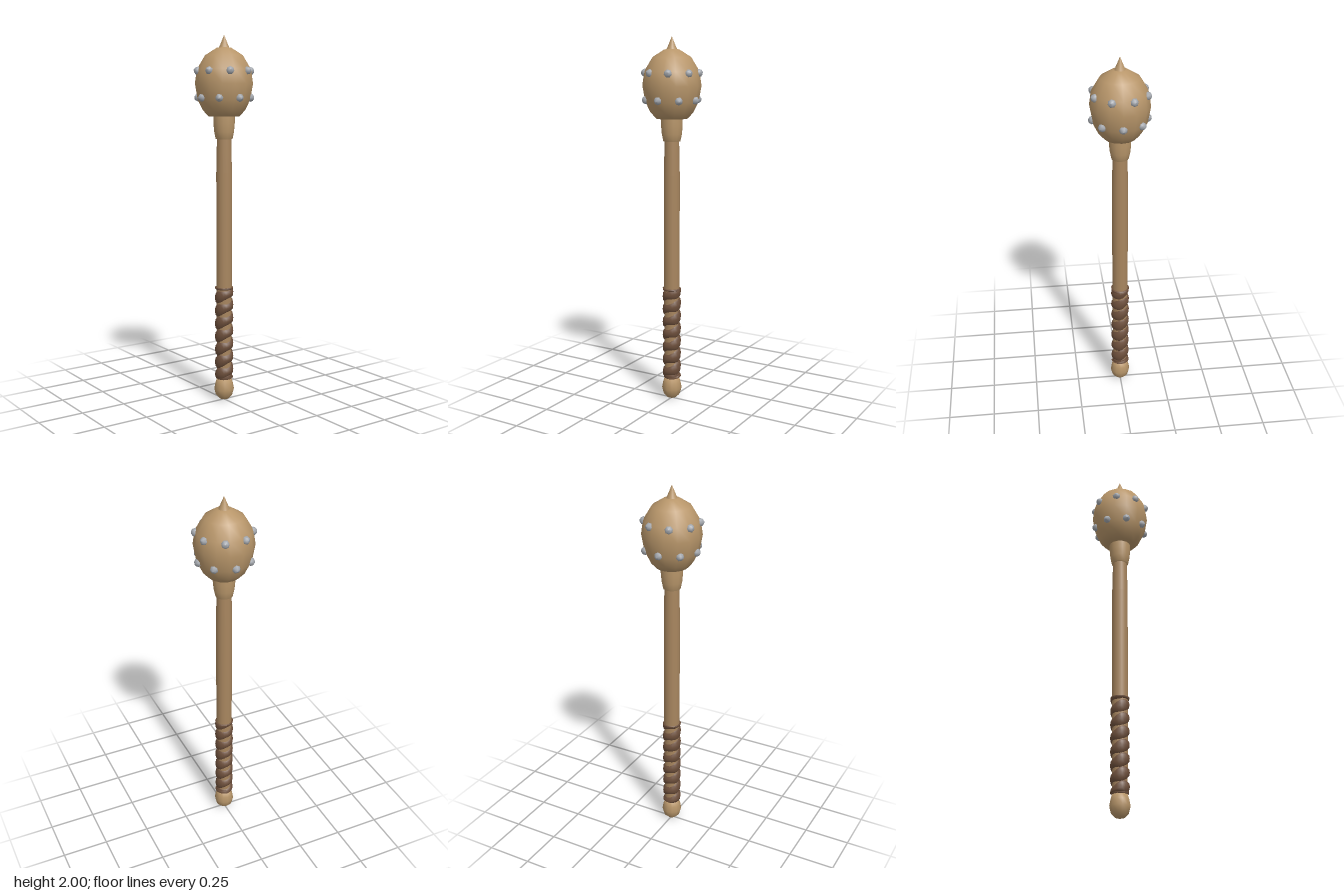
import * as THREE from 'three';

const mat = (color, side = THREE.FrontSide) => new THREE.MeshStandardMaterial({ color, side });
const wood = mat(0xb8966a);
const shaftWood = mat(0xa8865f);
const leather = mat(0x6e503c, THREE.DoubleSide);
const steel = mat(0xa4a8ae);

// Turned part from [radius, height] pairs, listed bottom to top
function turned(name, points, segments, material) {
  const profile = points.map(([r, y]) => new THREE.Vector2(r, y));
  const mesh = new THREE.Mesh(new THREE.LatheGeometry(profile, segments, Math.PI / 2), material);
  mesh.name = name;
  return mesh;
}

// Helical leather strip: broad at the sides, narrower at front and back
function wrapGeometry(y0, y1, pitch) {
  const turns = (y1 - y0) / pitch + 1;
  const steps = Math.round(turns * 20);
  const section = [[-1, 0.039], [-0.65, 0.048], [0, 0.051], [0.65, 0.048], [1, 0.039]];
  const n = section.length, positions = [], index = [];
  for (let i = 0; i <= steps; i++) {
    const a = (i / steps) * turns * Math.PI * 2;
    const centre = y0 - pitch / 2 + (i / steps) * turns * pitch;
    const half = 0.024 + 0.014 * Math.sin(a) ** 2;
    for (const [v, r] of section) {
      const y = THREE.MathUtils.clamp(centre + v * half, y0, y1);
      positions.push(r * Math.sin(a), y, r * Math.cos(a));
    }
    if (i === steps) break;
    for (let j = 0; j < n - 1; j++) {
      const p = i * n + j, q = p + n;
      index.push(p, q, p + 1, q, q + 1, p + 1);
    }
  }
  const g = new THREE.BufferGeometry();
  g.setAttribute('position', new THREE.Float32BufferAttribute(positions, 3));
  g.setIndex(index);
  g.computeVertexNormals();
  return g;
}

export function createModel() {
  const model = new THREE.Group();
  model.name = 'mace';

  // Round head and its top spike
  model.add(turned('head', [
    [0, 1.57], [0.085, 1.572], [0.115, 1.605], [0.142, 1.66], [0.157, 1.745],
    [0.146, 1.82], [0.102, 1.893], [0.04, 1.932], [0, 1.938],
  ], 14, wood));
  model.add(turned('spike', [[0.03, 1.93], [0.022, 1.947], [0, 2]], 14, wood));

  // Collar, shaft and pommel
  model.add(turned('collar', [
    [0.038, 1.45], [0.046, 1.451], [0.054, 1.49], [0.058, 1.535], [0.058, 1.575],
  ], 14, wood));
  model.add(turned('shaft', [[0.039, 0.1], [0.043, 0.64], [0.043, 1.27], [0.039, 1.46]], 14, shaftWood));
  model.add(turned('pommel', [
    [0, 0], [0.025, 0.006], [0.046, 0.027], [0.055, 0.062], [0.049, 0.095], [0.039, 0.128], [0, 0.13],
  ], 12, wood));

  // Leather grip with a closing band at each end
  const grip = new THREE.Group();
  grip.name = 'grip';
  const wrap = new THREE.Mesh(wrapGeometry(0.13, 0.64, 0.073), leather);
  wrap.name = 'gripWrap';
  grip.add(wrap);
  grip.add(turned('topBand', [[0.039, 0.628], [0.049, 0.63], [0.05, 0.64], [0.039, 0.641]], 14, leather));
  grip.add(turned('bottomBand', [[0.039, 0.12], [0.045, 0.124], [0.045, 0.147], [0.039, 0.15]], 14, leather));
  model.add(grip);

  // Two staggered rings of studs, pointing out from the head
  const studGeometry = new THREE.LatheGeometry(
    [[0.021, -0.008], [0.021, 0.004], [0.013, 0.014], [0, 0.019]].map(([r, y]) => new THREE.Vector2(r, y)), 7);
  const studs = new THREE.Group();
  studs.name = 'studs';
  const up = new THREE.Vector3(0, 1, 0);
  for (const [y, radius, tilt, offset] of [[1.67, 0.144, -0.22, 0], [1.812, 0.146, 0.3, Math.PI / 8]]) {
    for (let i = 0; i < 8; i++) {
      const a = offset + (i * Math.PI) / 4;
      const stud = new THREE.Mesh(studGeometry, steel);
      stud.name = 'stud';
      stud.position.set(radius * Math.sin(a), y, radius * Math.cos(a));
      stud.quaternion.setFromUnitVectors(up, new THREE.Vector3(Math.sin(a), tilt, Math.cos(a)).normalize());
      studs.add(stud);
    }
  }
  model.add(studs);

  return model;
}
